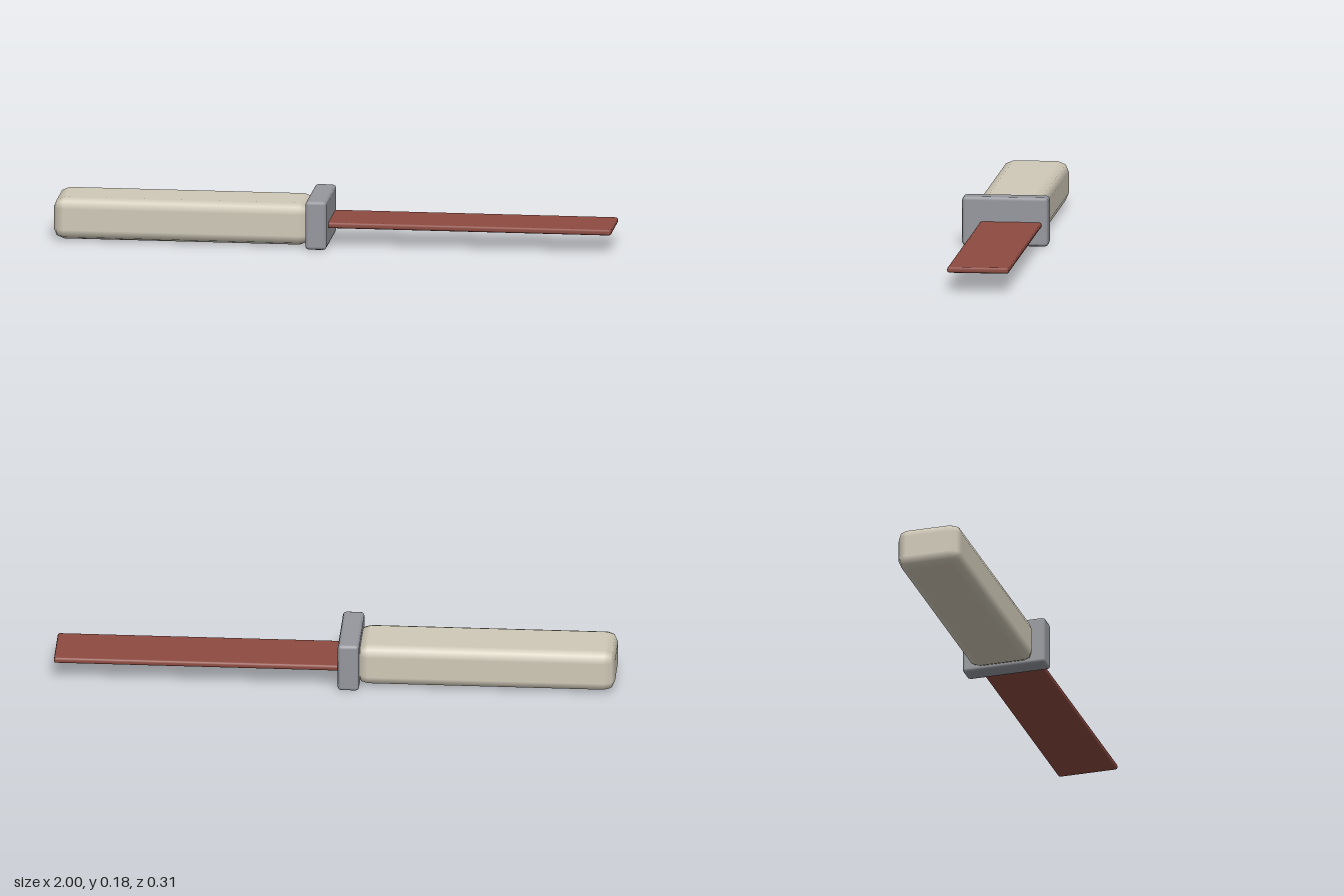
import * as THREE from 'three';
import { RoundedBoxGeometry } from 'three/addons/geometries/RoundedBoxGeometry.js';

const material = (name, color) => new THREE.MeshStandardMaterial({ name, color });

// Bevelled block spanning the given [min, max] ranges
function block(name, x, y, z, bevel, mat) {
  const size = [x, y, z].map(([a, b]) => b - a);
  const mid = [x, y, z].map(([a, b]) => (a + b) / 2);
  const mesh = new THREE.Mesh(new RoundedBoxGeometry(...size, 1, bevel), mat);
  mesh.name = name;
  mesh.position.set(...mid);
  return mesh;
}

export function createModel() {
  const group = new THREE.Group();
  group.name = 'knife';
  const bone = material('bone', 0xd0c9b8);
  const steel = material('steel', 0x96989e);
  const rust = material('rust', 0x8e4b41);

  group.add(
    // Softly rounded grip
    block('handle', [-1, -0.08], [0.003, 0.155], [-0.12, 0.116], 0.038, bone),
    // Upright plate between grip and blade
    block('guard', [-0.09, -0.014], [0, 0.176], [-0.154, 0.154], 0.012, steel),
    // Flat blade, set slightly toward the back
    block('blade', [-0.03, 1], [0.067, 0.088], [-0.131, 0.09], 0.008, rust),
  );
  return group;
}
